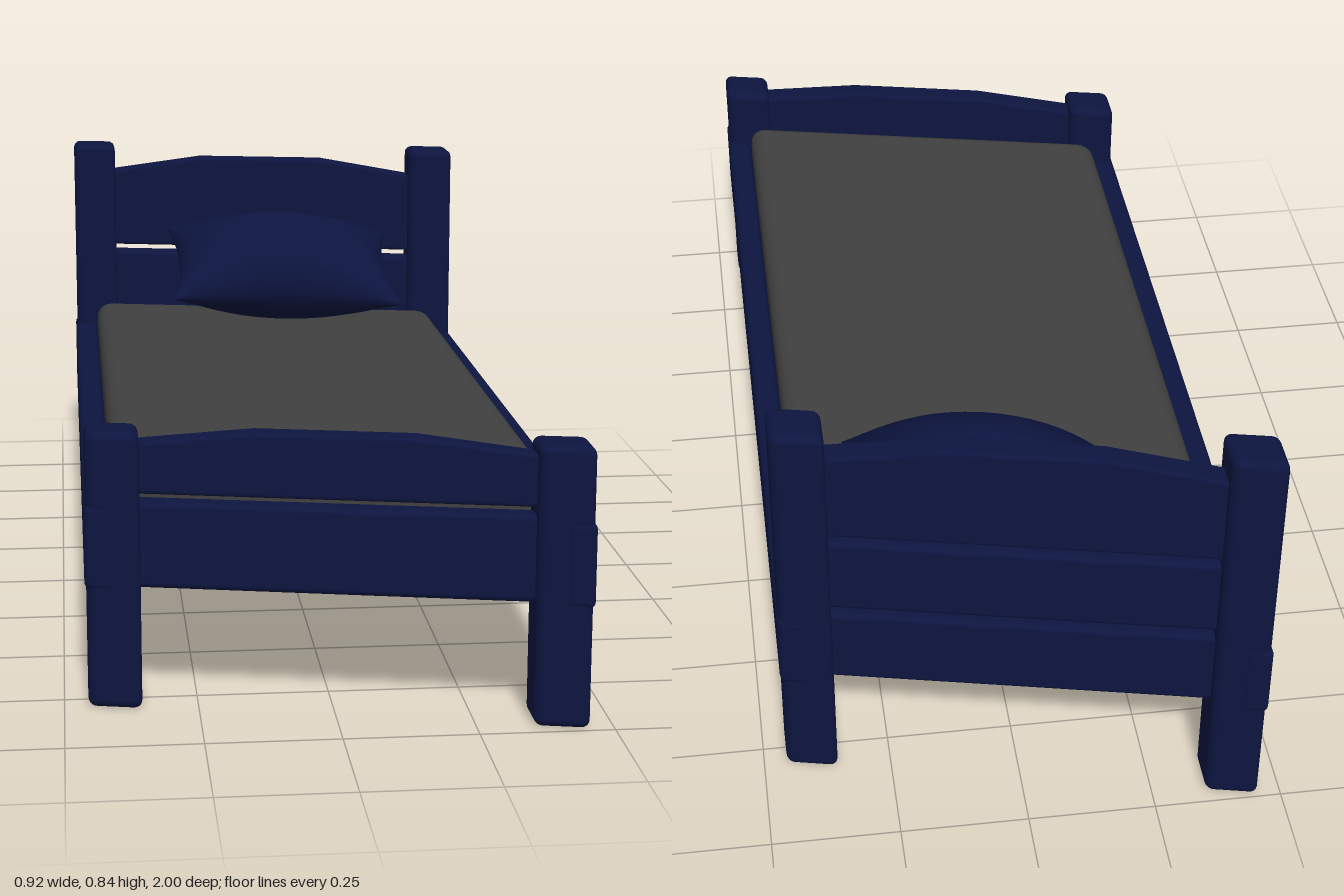
import * as THREE from 'three';
import { RoundedBoxGeometry } from 'three/addons/geometries/RoundedBoxGeometry.js';
import { mergeVertices } from 'three/addons/utils/BufferGeometryUtils.js';

const POST_X = 0.405, END_Z = 0.85, BOARD_HALF = 0.37;

// The whole bed is slanted: z slides with x
const slant = new THREE.Matrix4().set(
  1, 0, 0, 0,
  0, 1, 0, 0,
  0.22, 0, 1, 0,
  0, 0, 0, 1);

const wood = new THREE.MeshStandardMaterial({ color: 0x0d1540 });
const cloth = new THREE.MeshStandardMaterial({ color: 0x404040 });

function part(group, name, geometry, material) {
  geometry.applyMatrix4(slant);
  const mesh = new THREE.Mesh(geometry, material);
  mesh.name = name;
  group.add(mesh);
}

// Rounded box given its width, depth, bottom and top
function block(w, d, y0, y1, x, z, radius) {
  return new RoundedBoxGeometry(w, y1 - y0, d, 3, radius).translate(x, (y0 + y1) / 2, z);
}

// Board whose top edge rises to a flat middle
function archedBoard(y0, yEnd, yMid, z) {
  const b = 0.008, thick = 0.05, h = BOARD_HALF - b;
  const shape = new THREE.Shape([
    [-h, y0 + b], [h, y0 + b], [h, yEnd - b], [0.145, yMid - b], [-0.145, yMid - b], [-h, yEnd - b],
  ].map(([x, y]) => new THREE.Vector2(x, y)));
  return new THREE.ExtrudeGeometry(shape, {
    depth: thick - 2 * b, bevelThickness: b, bevelSize: b, bevelSegments: 3,
  }).translate(0, 0, z - thick / 2 + b);
}

// Cushion: plump middle, thin rim, edges pulled in between the corners
function pillowGeometry() {
  let geo = new THREE.BoxGeometry(2, 2, 2, 24, 1, 24);
  const p = geo.attributes.position;
  for (let i = 0; i < p.count; i++) {
    const u = Math.sin(p.getX(i) * Math.PI / 2), v = Math.sin(p.getZ(i) * Math.PI / 2);
    const puff = Math.pow(Math.max(0, (1 - u * u) * (1 - v * v)), 0.55);
    p.setXYZ(i,
      0.265 * u * (1 - 0.09 * (1 - v * v)),
      Math.sign(p.getY(i)) * 0.125 * puff,
      0.17 * v * (1 - 0.16 * (1 - u * u)));
  }
  geo.deleteAttribute('uv');
  geo.deleteAttribute('normal');
  geo = mergeVertices(geo, 1e-5);
  geo.computeVertexNormals();
  return geo.rotateX(0.36).translate(0.035, 0.575, -0.655);
}

export function createModel() {
  const bed = new THREE.Group();
  bed.name = 'bed';

  // Posts and side rails, mirrored left and right
  for (const [side, s] of [['left', 1], ['right', -1]]) {
    part(bed, side + 'HeadPost', block(0.1, 0.096, 0, 0.84, s * POST_X, -END_Z, 0.016), wood);
    part(bed, side + 'FootPost', block(0.1, 0.096, 0, 0.53, s * POST_X, END_Z, 0.016), wood);
    part(bed, side + 'Rail', block(0.053, 1.8, 0.23, 0.39, s * 0.432, 0, 0.012), wood);
  }

  // Headboard
  part(bed, 'headBoardLower', block(2 * BOARD_HALF, 0.05, 0.23, 0.395, 0, -END_Z, 0.012), wood);
  part(bed, 'headBoardMiddle', block(2 * BOARD_HALF, 0.05, 0.41, 0.575, 0, -END_Z, 0.012), wood);
  part(bed, 'headBoardTop', archedBoard(0.59, 0.775, 0.81, -END_Z), wood);

  // Footboard
  part(bed, 'footBoardLower', block(2 * BOARD_HALF, 0.05, 0.23, 0.395, 0, END_Z, 0.012), wood);
  part(bed, 'footBoardTop', archedBoard(0.41, 0.507, 0.532, END_Z), wood);

  // Bedding
  part(bed, 'mattress', block(0.81, 1.6, 0.28, 0.45, 0, 0, 0.035), cloth);
  part(bed, 'pillow', pillowGeometry(), wood);

  return bed;
}
